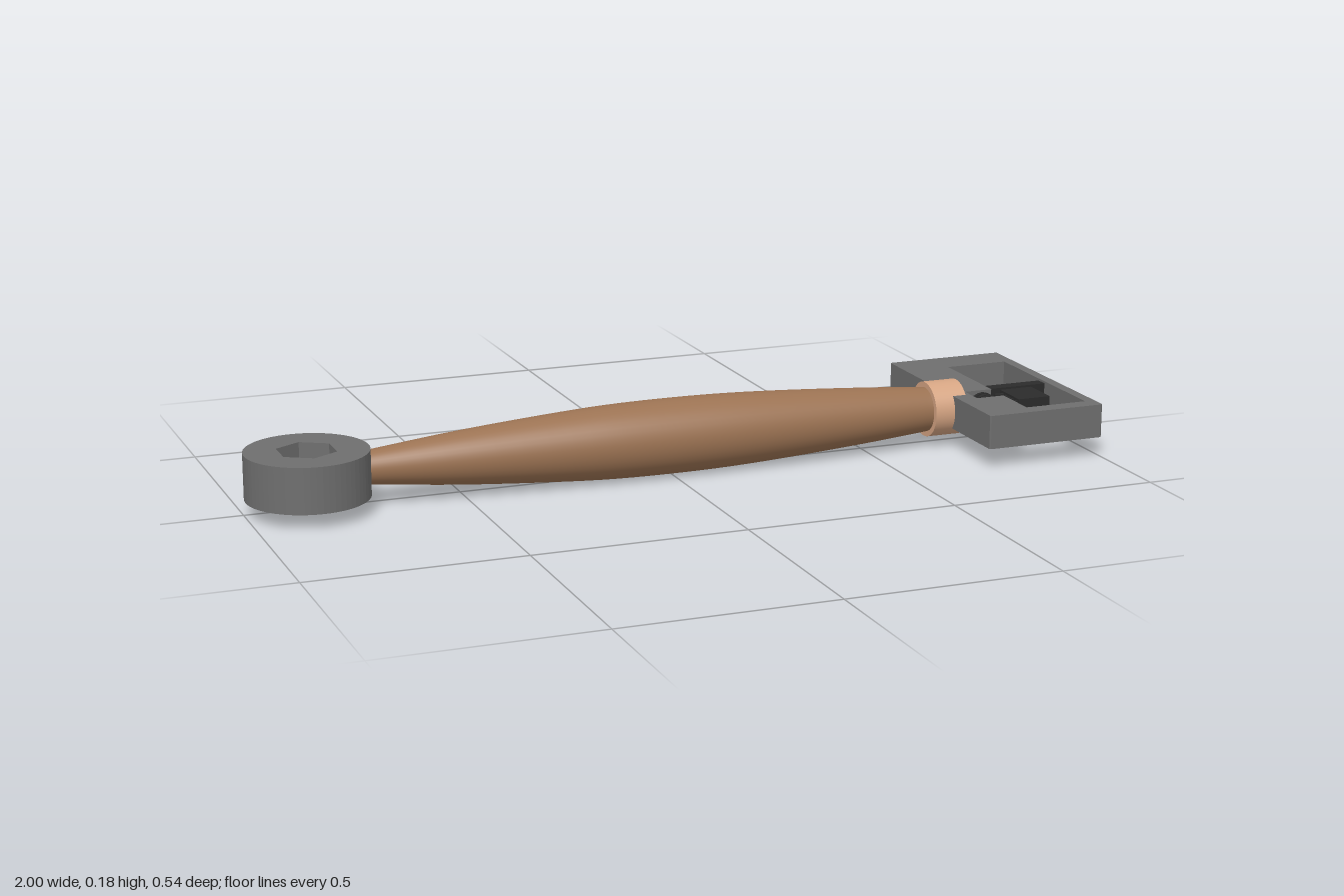
import * as THREE from 'three';

const AXIS_Y = 0.09, AXIS_Z = 0.023;

export function createModel() {
  const model = new THREE.Group();
  const mat = (name, color) => {
    const m = new THREE.MeshStandardMaterial({ color });
    m.name = name;
    return m;
  };
  const steel = mat('steel grey', 0x6e6e6e);
  const dark = mat('dark steel', 0x2b2b2b);
  const wood = mat('brown wood', 0x9c7353);
  const copper = mat('pale copper', 0xd6a583);

  const add = (name, geometry, material, x = 0, y = 0, z = 0) => {
    const mesh = new THREE.Mesh(geometry, material);
    mesh.name = name;
    mesh.position.set(x, y, z);
    model.add(mesh);
  };
  const box = (name, material, x0, x1, y0, y1, z0, z1) => add(name,
    new THREE.BoxGeometry(x1 - x0, y1 - y0, z1 - z0), material,
    (x0 + x1) / 2, (y0 + y1) / 2, (z0 + z1) / 2);
  // Lathe profile of [radius, x] points, turned about the x axis
  const turned = points => new THREE.LatheGeometry(points, 40).rotateZ(-Math.PI / 2);
  const vectors = pts => pts.map(p => new THREE.Vector2(...p));
  // Outline in (x, -z), ordered counter-clockwise and raised along y
  const outline = pts => pts.map(([x, z]) => new THREE.Vector2(x, -z)).reverse();
  const plate = (shape, height) => new THREE.ExtrudeGeometry(shape,
    { depth: height, bevelEnabled: false, curveSegments: 32 }).rotateX(-Math.PI / 2);

  // Wooden grip
  const swell = new THREE.SplineCurve(vectors([
    [0.038, -0.73], [0.041, -0.7], [0.062, -0.5], [0.08, -0.26], [0.087, -0.1],
    [0.087, 0.1], [0.08, 0.28], [0.066, 0.5], [0.052, 0.67],
  ])).getPoints(32);
  add('handle', turned([...vectors([[0, -0.73]]), ...swell,
    ...vectors([[0.052, 0.735], [0.045, 0.75], [0, 0.75]])]), wood, 0, AXIS_Y, AXIS_Z);

  // Ferrule sleeve, with doubled points for crisp rims
  add('ferrule', turned(vectors([[0.05, 0.656], [0.066, 0.656], [0.066, 0.656],
    [0.066, 0.738], [0.066, 0.738], [0.05, 0.741]])), copper, 0, AXIS_Y, AXIS_Z);

  // Two short nicks in the back of the grip, wrapped around its surface
  for (const x of [-0.148, -0.09]) {
    const nick = new THREE.CylinderGeometry(0.0878, 0.0878, 0.005, 8, 1, true, 0, 0.7);
    add('nick', nick.rotateZ(-Math.PI / 2).rotateX(-2.9), wood, x, AXIS_Y, AXIS_Z);
  }

  // Ring end with a hexagonal socket
  const ring = new THREE.Shape().absarc(0, 0, 0.141, 0, Math.PI * 2);
  const hex = [];
  for (let i = 0; i < 6; i++) {
    const a = Math.PI / 6 + i * Math.PI / 3;
    hex.push([Math.cos(a) * 0.07, Math.sin(a) * 0.07]);
  }
  ring.holes.push(new THREE.Path(outline(hex)));
  add('ringHead', plate(ring, 0.107), steel, -0.859, 0.037, 0.024);

  // Tang end reaching into the socket, with a dark collar at the wall
  add('tang', new THREE.CylinderGeometry(0.016, 0.016, 0.13, 16).rotateZ(Math.PI / 2),
    steel, -0.795, AXIS_Y, AXIS_Z);
  add('tangCollar', new THREE.CylinderGeometry(0.026, 0.026, 0.02, 20).rotateZ(Math.PI / 2),
    dark, -0.8, AXIS_Y, AXIS_Z);

  // Rectangular frame head; its opening has a side pocket for the adjuster
  const frame = new THREE.Shape(outline([[0.708, -0.27], [0.997, -0.27], [1, -0.267], [1, 0.267],
    [0.997, 0.27], [0.708, 0.27], [0.705, 0.267], [0.705, -0.267]]));
  frame.holes.push(new THREE.Path(outline([[0.82, -0.18], [0.975, -0.18], [0.975, 0.23], [0.82, 0.23],
    [0.82, 0.113], [0.75, 0.113], [0.75, 0.05], [0.82, 0.05]])));
  add('frameHead', plate(frame, 0.08), steel, 0, 0.05, 0);

  // Sliding jaw: cross bar, block and rack teeth
  box('jawBar', dark, 0.82, 0.975, 0.055, 0.125, 0, 0.03);
  box('jawBlock', dark, 0.855, 0.938, 0.06, 0.12, 0.03, 0.125);
  for (let i = 0; i < 5; i++) {
    const z = 0.042 + i * 0.017;
    box('rackTooth', dark, 0.832, 0.857, 0.065, 0.115, z, z + 0.009);
  }

  // Adjusting worm: spindle and thread discs
  add('wormSpindle', new THREE.CylinderGeometry(0.026, 0.026, 0.065, 16).rotateX(Math.PI / 2),
    dark, 0.793, AXIS_Y, 0.0815);
  for (let i = 0; i < 4; i++) {
    add('wormThread', new THREE.CylinderGeometry(0.036, 0.036, 0.009, 20).rotateX(Math.PI / 2),
      dark, 0.793, AXIS_Y, 0.0575 + i * 0.016);
  }
  return model;
}
